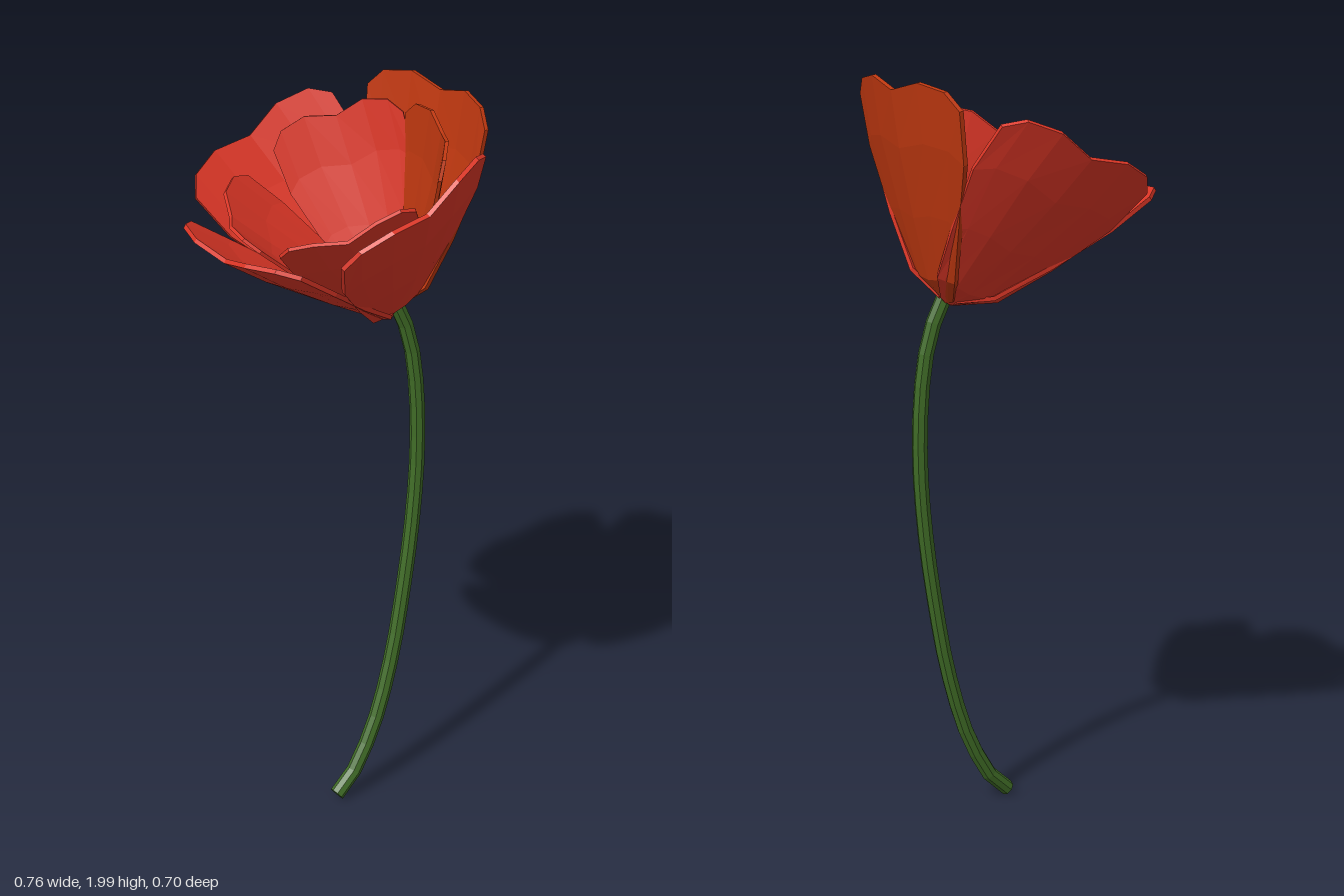
import * as THREE from 'three';

const RAD = Math.PI / 180;

// Petal plan: columns across, rows along, with half widths and a notched, scalloped tip
const COLS = [-1, -0.82, -0.45, 0, 0.45, 0.82, 1];
const REACH = [0.88, 0.965, 1, 0.955, 1, 0.965, 0.88];
const ROWS = [0, 0.14, 0.4, 0.72, 1];
const HALF = [0.03, 0.1, 0.165, 0.228, 0.24];
// Side profile of a petal as [radius, height] at each row
const PROFILE = [[0.01, -0.008], [0.085, 0.033], [0.195, 0.172], [0.31, 0.325], [0.393, 0.455]];

function profileAt(t) {
  let i = 0;
  while (i < ROWS.length - 2 && t > ROWS[i + 1]) i++;
  const f = (t - ROWS[i]) / (ROWS[i + 1] - ROWS[i]);
  return [0, 1].map((k) => THREE.MathUtils.lerp(PROFILE[i][k], PROFILE[i + 1][k], f));
}

// Faceted normals
function faceted(geometry) {
  const g = geometry.index ? geometry.toNonIndexed() : geometry;
  g.computeVertexNormals();
  return g;
}

// Closed, cupped petal shell pointing to +z and opening upwards
function petalGeometry({ radius, height, width, cup, thick }) {
  const nR = ROWS.length, nC = COLS.length, pos = [], idx = [];
  for (const layer of [0, 1]) {
    ROWS.forEach((t, i) => COLS.forEach((u, j) => {
      const s = t * REACH[j];
      const [r, h] = profileAt(s);
      const [r0, h0] = profileAt(Math.max(0, s - 0.08));
      const [r1, h1] = profileAt(Math.min(1, s + 0.08));
      const tr = (r1 - r0) * radius, th = (h1 - h0) * height, len = Math.hypot(tr, th);
      const d = layer * thick + cup * Math.pow(Math.abs(u), 1.6) * Math.min(1, 0.2 + t);
      pos.push(u * HALF[i] * width, h * height + (tr / len) * d, r * radius - (th / len) * d);
    }));
  }
  const at = (i, j, layer) => layer * nR * nC + i * nC + j;
  for (let i = 0; i < nR - 1; i++) {
    for (let j = 0; j < nC - 1; j++) {
      for (const layer of [0, 1]) {
        const a = at(i, j, layer), b = at(i, j + 1, layer);
        const c = at(i + 1, j + 1, layer), d = at(i + 1, j, layer);
        if (layer === 0) idx.push(a, b, c, a, c, d);
        else idx.push(a, c, b, a, d, c);
      }
    }
  }
  // Rim joining the two faces
  const loop = [];
  for (let j = 0; j < nC - 1; j++) loop.push([0, j]);
  for (let i = 0; i < nR - 1; i++) loop.push([i, nC - 1]);
  for (let j = nC - 1; j > 0; j--) loop.push([nR - 1, j]);
  for (let i = nR - 1; i > 0; i--) loop.push([i, 0]);
  loop.forEach(([i, j], k) => {
    const [m, n] = loop[(k + 1) % loop.length];
    const p = at(i, j, 0), q = at(m, n, 0), p2 = at(i, j, 1), q2 = at(m, n, 1);
    idx.push(q, p, p2, q, p2, q2);
  });
  const g = new THREE.BufferGeometry();
  g.setAttribute('position', new THREE.Float32BufferAttribute(pos, 3));
  g.setIndex(idx);
  return faceted(g);
}

export function createModel() {
  const material = (name, color) => {
    const m = new THREE.MeshStandardMaterial({ color });
    m.name = name;
    return m;
  };
  const red = material('petal red', 0xdc3626);
  const orange = material('petal orange red', 0xc03810);
  const black = material('centre black', 0x0b0b0b);
  const tan = material('pistil tan', 0x8f6f55);
  const green = material('stem green', 0x3f6b26);

  const model = new THREE.Group();
  model.name = 'flower';
  const add = (parent, name, geometry, mat) => {
    const mesh = new THREE.Mesh(geometry, mat);
    mesh.name = name;
    parent.add(mesh);
    return mesh;
  };

  // Curved stem with closed ends
  const path = new THREE.CatmullRomCurve3([
    [0.053, 0.025, 0.048], [0.052, 0.06, 0.003], [0.05, 0.2, -0.08], [0.045, 0.4, -0.147],
    [0.039, 0.6, -0.19], [0.034, 0.8, -0.222], [0.028, 1.0, -0.24], [0.022, 1.2, -0.236],
    [0.016, 1.34, -0.213], [0.01, 1.44, -0.17],
  ].map((p) => new THREE.Vector3(...p)));
  const stem = new THREE.Group();
  stem.name = 'stem';
  model.add(stem);
  add(stem, 'stemTube', faceted(new THREE.TubeGeometry(path, 18, 0.021, 8)), green);
  for (const end of [0, 1]) {
    const cap = add(stem, 'stemEnd', new THREE.CircleGeometry(0.021, 8), green);
    const out = path.getTangentAt(end).multiplyScalar(end ? 1 : -1);
    cap.position.copy(path.getPointAt(end));
    cap.quaternion.setFromUnitVectors(new THREE.Vector3(0, 0, 1), out);
  }

  // Flower head, nodding forwards
  const head = new THREE.Group();
  head.name = 'flowerHead';
  head.position.set(-0.004, 1.422, -0.17);
  head.rotation.x = 24.5 * RAD;
  model.add(head);

  const ring = (name, shape, angles, mats, lift = 0) => {
    const geometry = petalGeometry(shape);
    angles.forEach((angle, i) => {
      const petal = add(head, name, geometry, mats[i]);
      petal.rotation.y = angle * RAD;
      petal.position.y = lift;
    });
  };
  ring('outerPetal', { radius: 1, height: 1, width: 1, cup: 0.045, thick: 0.012 },
    [0, 90, 180, 270], [red, red, orange, red]);
  ring('innerPetal', { radius: 0.77, height: 0.95, width: 0.74, cup: 0.045, thick: 0.01 },
    [-32, 56, 153, 231], [red, red, orange, red], 0.008);
  ring('darkCentrePetal', { radius: 0.28, height: 0.28, width: 0.28, cup: 0.014, thick: 0.006 },
    [0, 90, 180, 270], [black, black, black, black], 0.036);

  // Pistil: waisted six-sided column
  const pistil = new THREE.LatheGeometry(
    [[0, 0], [0.02, 0], [0.026, 0.03], [0.017, 0.07], [0.026, 0.095], [0.02, 0.115], [0, 0.118]]
      .map(([x, y]) => new THREE.Vector2(x, y)), 6);
  add(head, 'pistil', faceted(pistil), tan);

  return model;
}
